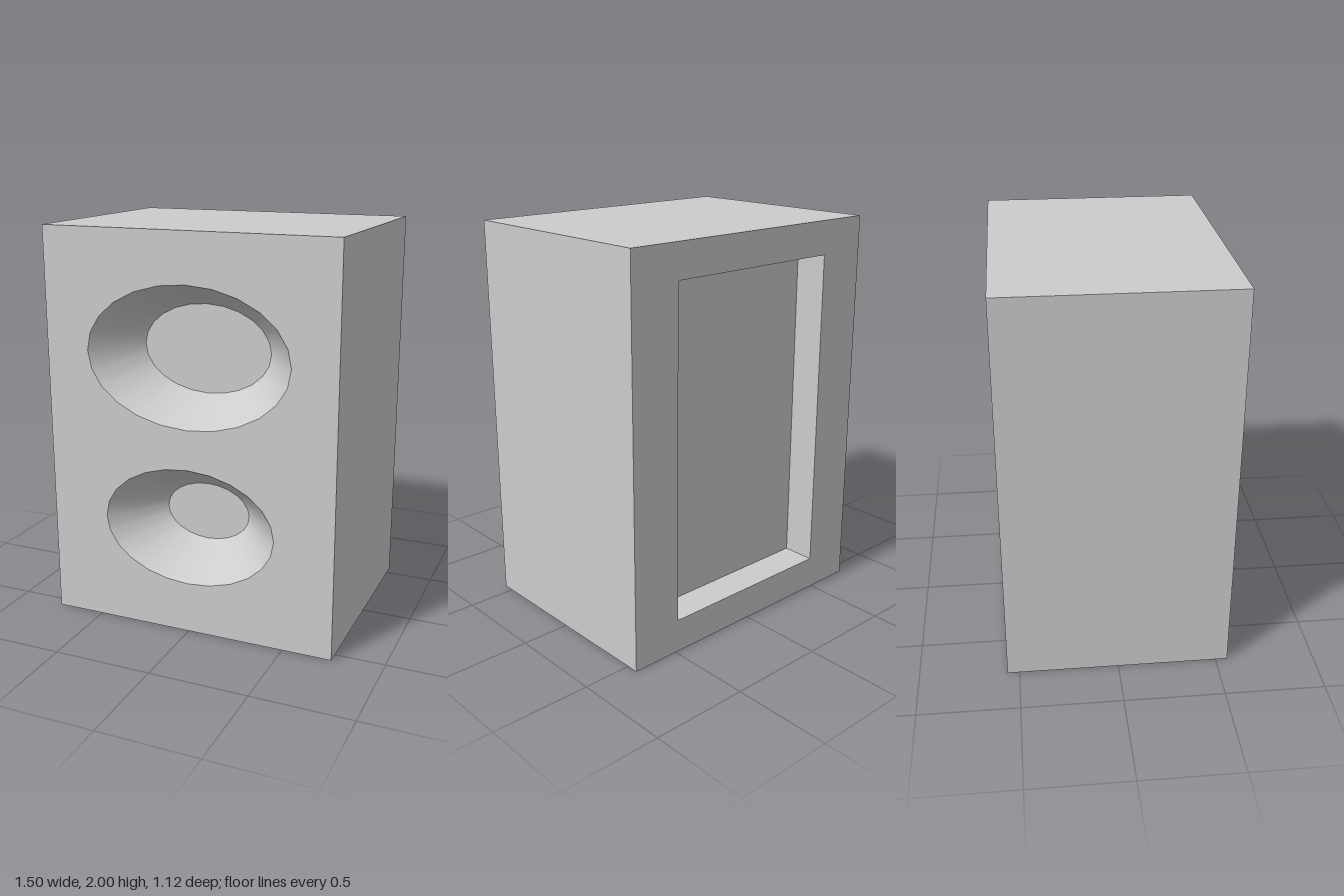
import * as THREE from 'three';

const W = 1.5, H = 2, D = 1.12;
const SEGMENTS = 24;

// Elliptical horns sunk into the front: centre height, outer and inner radius, depth
const HORNS = [
  { name: 'upperHorn', y: 1.405, outer: 0.525, inner: 0.336, depth: 0.25 },
  { name: 'lowerHorn', y: 0.557, outer: 0.45, inner: 0.225, depth: 0.25 },
];
const SQUASH = 0.663; // ellipse height / width

// Rectangular recess in the back
const RECESS = { w: 0.97, h: 1.66, depth: 0.17 };

function rectangle(w, h, Type = THREE.Shape) {
  return new Type([
    new THREE.Vector2(-w / 2, -h / 2), new THREE.Vector2(w / 2, -h / 2),
    new THREE.Vector2(w / 2, h / 2), new THREE.Vector2(-w / 2, h / 2),
  ]);
}

export function createModel() {
  const model = new THREE.Group();
  model.name = 'speakerCabinet';
  const grey = new THREE.MeshStandardMaterial({ color: 0xcccccc });
  grey.name = 'cabinetGrey';

  const add = (name, geometry, x, y, z, rx = 0, ry = 0) => {
    const mesh = new THREE.Mesh(geometry, grey);
    mesh.name = name;
    mesh.position.set(x, y, z);
    mesh.rotation.set(rx, ry, 0);
    model.add(mesh);
  };

  // Four walls of a box; sign 1 faces outward, -1 faces inward
  const walls = (name, w, h, d, z, sign) => {
    const q = Math.PI / 2;
    for (const s of [1, -1]) {
      add(name + (s > 0 ? 'Left' : 'Right'), new THREE.PlaneGeometry(d, h),
        s * w / 2, H / 2, z, 0, s * sign * q);
      add(name + (s > 0 ? 'Top' : 'Bottom'), new THREE.PlaneGeometry(w, d),
        0, H / 2 + s * h / 2, z, -s * sign * q, 0);
    }
  };

  // Outer cabinet
  walls('cabinet', W, H, D, 0, 1);

  // Front panel with two elliptical openings
  const front = rectangle(W, H);
  for (const { y, outer } of HORNS) {
    const points = [];
    for (let i = 0; i < SEGMENTS; i++) {
      const a = (i / SEGMENTS) * Math.PI * 2;
      points.push(new THREE.Vector2(Math.cos(a) * outer, y - H / 2 + Math.sin(a) * outer * SQUASH));
    }
    front.holes.push(new THREE.Path(points));
  }
  add('frontPanel', new THREE.ShapeGeometry(front), 0, H / 2, D / 2);

  // Tapered horns with flat floors
  for (const { name, y, outer, inner, depth } of HORNS) {
    const cone = new THREE.LatheGeometry(
      [new THREE.Vector2(outer, 0), new THREE.Vector2(inner, -depth)], SEGMENTS);
    cone.rotateX(Math.PI / 2).scale(1, SQUASH, 1);
    add(name + 'Cone', cone, 0, y, D / 2);
    const floor = new THREE.CircleGeometry(inner, SEGMENTS).scale(1, SQUASH, 1);
    add(name + 'Floor', floor, 0, y, D / 2 - depth);
  }

  // Back frame, recess walls and recessed panel
  const back = rectangle(W, H);
  back.holes.push(rectangle(RECESS.w, RECESS.h, THREE.Path));
  add('backFrame', new THREE.ShapeGeometry(back), 0, H / 2, -D / 2, 0, Math.PI);
  walls('recess', RECESS.w, RECESS.h, RECESS.depth, -D / 2 + RECESS.depth / 2, -1);
  add('recessPanel', new THREE.PlaneGeometry(RECESS.w, RECESS.h),
    0, H / 2, -D / 2 + RECESS.depth, 0, Math.PI);

  return model;
}
